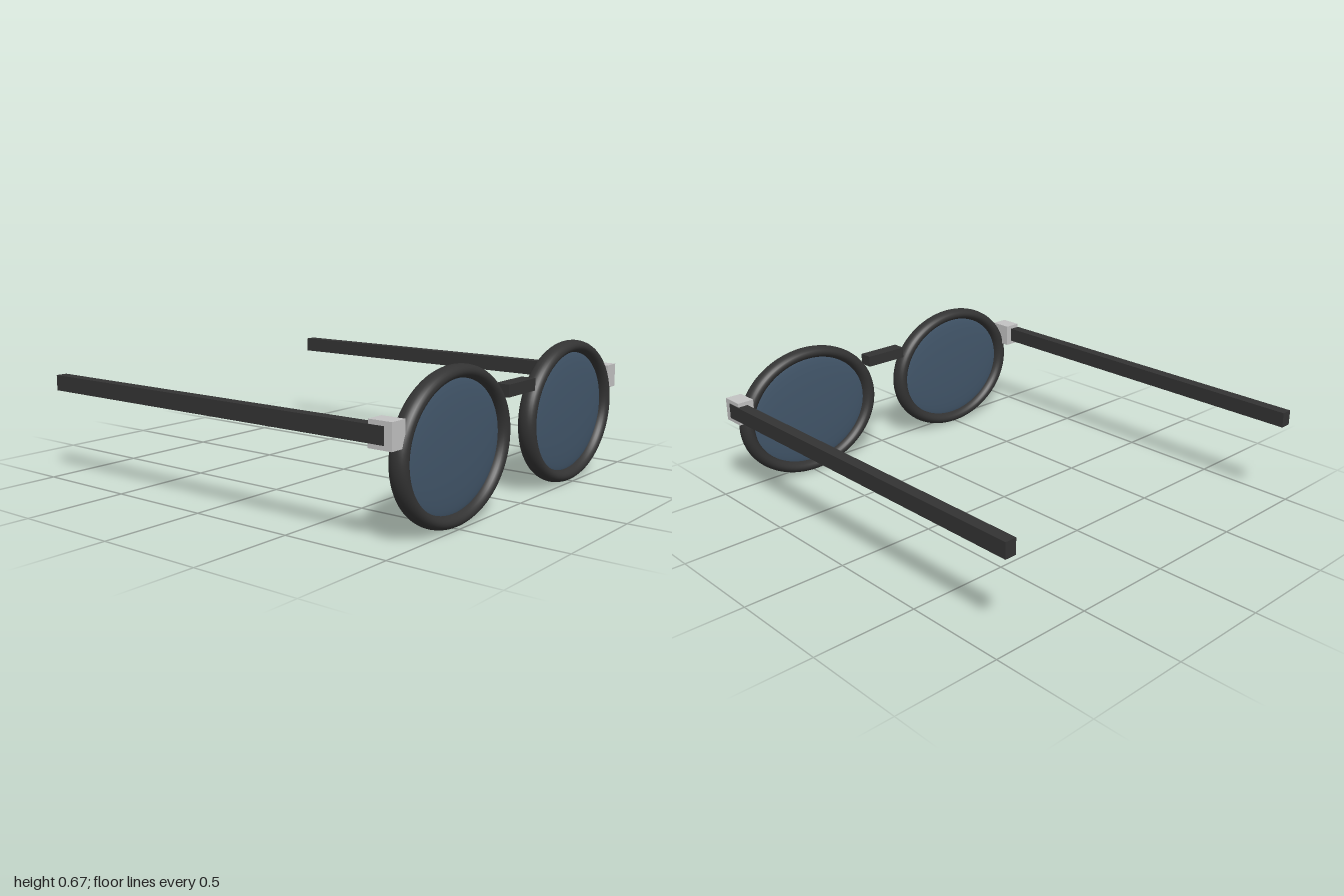
import * as THREE from 'three';

export function createModel() {
  const frameMat = new THREE.MeshStandardMaterial({ color: 0x333333 });
  frameMat.name = 'charcoal frame';
  const lensMat = new THREE.MeshStandardMaterial({ color: 0x42566a });
  lensMat.name = 'blue grey lens';
  const hingeMat = new THREE.MeshStandardMaterial({ color: 0xc2c2c2 });
  hingeMat.name = 'silver hinge';

  const model = new THREE.Group();
  model.name = 'glasses';

  function add(name, geometry, material, x, y, z) {
    const mesh = new THREE.Mesh(geometry, material);
    mesh.name = name;
    mesh.position.set(x, y, z);
    model.add(mesh);
    return mesh;
  }

  // Shared geometries: oval rim, gently domed lens, hinge block, straight temple arm
  const rim = new THREE.TorusGeometry(0.375, 0.035, 24, 96).scale(1, 0.822, 1.21);
  const lens = new THREE.SphereGeometry(1, 64, 32).rotateX(Math.PI / 2).scale(0.35, 0.288, 0.022);
  const hinge = new THREE.BoxGeometry(0.085, 0.113, 0.112);
  const arm = new THREE.BoxGeometry(0.056, 0.074, 1.95);

  for (const [side, s] of [['left', 1], ['right', -1]]) {
    add(side + 'Rim', rim, frameMat, s * 0.49, 0.337, 0.958);
    add(side + 'Lens', lens, lensMat, s * 0.49, 0.337, 0.958);
    add(side + 'Hinge', hinge, hingeMat, s * 0.907, 0.457, 0.93);
    // The arm stands just proud of the hinge's outer face
    add(side + 'Arm', arm, frameMat, s * 0.925, 0.457, -0.025);
  }

  // Bridge between the rims
  add('bridge', new THREE.BoxGeometry(0.23, 0.056, 0.07), frameMat, 0, 0.517, 0.957);

  return model;
}
